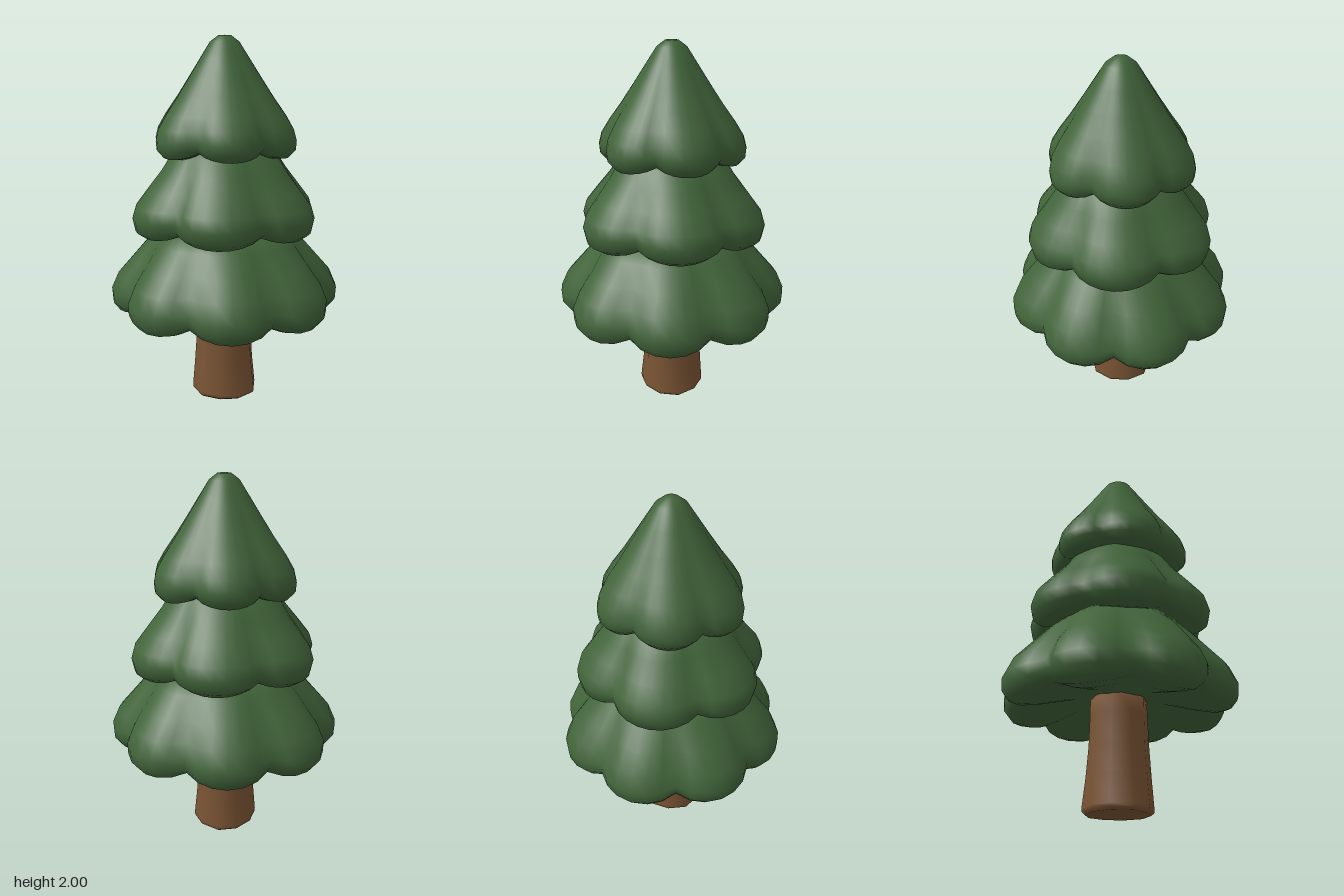
import * as THREE from 'three';
import { mergeVertices } from 'three/addons/utils/BufferGeometryUtils.js';

const SEGMENTS = 48;

// Revolves a profile, then moves each vertex by rule(point, angle), smooth and without a seam
function revolve(profile, segments, rule) {
  let geo = new THREE.LatheGeometry(profile.map(([r, y]) => new THREE.Vector2(r, y)), segments);
  const pos = geo.attributes.position;
  const rows = profile.length;
  for (let i = 0; i < pos.count; i++) {
    const angle = (Math.floor(i / rows) % segments) / segments * Math.PI * 2; // 0 = +z, towards +x
    const [r, y] = rule(profile[i % rows], angle);
    pos.setXYZ(i, r * Math.sin(angle), y, r * Math.cos(angle));
  }
  geo.deleteAttribute('normal');
  geo.deleteAttribute('uv');
  geo = mergeVertices(geo, 1e-5);
  geo.computeVertexNormals();
  return geo;
}

// Tier of foliage with a scalloped skirt; profile rows are [radius, y, lobe bulge, lobe drop]
function foliageTier(name, profile, lobes, turn, material) {
  const geo = revolve(profile, SEGMENTS, ([r, y, bulge, drop], a) => {
    const lobe = Math.pow(Math.abs(Math.sin(a * lobes / 2)), 0.8); // 0 in the notch, 1 mid-lobe
    return [r + bulge * lobe, y - drop * lobe];
  });
  const mesh = new THREE.Mesh(geo, material);
  mesh.name = name;
  mesh.rotation.y = turn;
  return mesh;
}

export function createModel() {
  const leafGreen = new THREE.MeshStandardMaterial({ color: 0x41643a });
  leafGreen.name = 'leafGreen';
  const barkBrown = new THREE.MeshStandardMaterial({ color: 0x7a5434 });
  barkBrown.name = 'barkBrown';

  const tree = new THREE.Group();
  tree.name = 'pineTree';

  // Trunk: slightly uneven, flared at the foot, with a softened base edge
  const trunkProfile = [
    [0, 0], [0.165, 0.0], [0.18, 0.012], [0.182, 0.03], [0.168, 0.18],
    [0.157, 0.34], [0.152, 0.5], [0.15, 0.62], [0, 0.62],
  ];
  const trunk = new THREE.Mesh(revolve(trunkProfile, 10, ([r, y], a) =>
    [r * (1 + 0.035 * Math.sin(3 * a + y * 4)), y]), barkBrown);
  trunk.name = 'trunk';
  tree.add(trunk);

  // Bottom tier: eight lobes
  tree.add(foliageTier('bottomFoliage', [
    [0, 0.6, 0, 0], [0.22, 0.585, 0.01, 0.01], [0.4, 0.56, 0.02, 0.04], [0.49, 0.55, 0.04, 0.048],
    [0.535, 0.562, 0.06, 0.045], [0.56, 0.595, 0.07, 0.035], [0.56, 0.645, 0.075, 0.015],
    [0.525, 0.72, 0.07, 0], [0.465, 0.81, 0.05, 0], [0.395, 0.92, 0.022, 0],
    [0.33, 1.0, 0, 0], [0, 1.05, 0, 0],
  ], 8, 0, leafGreen));

  // Middle tier: six lobes
  tree.add(foliageTier('middleFoliage', [
    [0, 1.03, 0, 0], [0.24, 1.02, 0.01, 0.02], [0.36, 1.0, 0.03, 0.045], [0.41, 1.0, 0.05, 0.045],
    [0.44, 1.02, 0.065, 0.035], [0.45, 1.07, 0.07, 0.015], [0.435, 1.12, 0.065, 0],
    [0.385, 1.2, 0.05, 0], [0.325, 1.3, 0.025, 0], [0.275, 1.39, 0.012, 0],
    [0.22, 1.43, 0, 0], [0, 1.47, 0, 0],
  ], 6, 0, leafGreen));

  // Top tier: six lobes below a blunt tip
  tree.add(foliageTier('topFoliage', [
    [0, 1.44, 0, 0], [0.16, 1.43, 0.01, 0.01], [0.27, 1.415, 0.03, 0.045], [0.315, 1.415, 0.045, 0.04],
    [0.338, 1.435, 0.055, 0.025], [0.342, 1.47, 0.055, 0.01], [0.335, 1.52, 0.045, 0],
    [0.305, 1.59, 0.03, 0], [0.25, 1.68, 0.018, 0], [0.19, 1.78, 0.01, 0],
    [0.13, 1.88, 0.004, 0], [0.078, 1.965, 0, 0], [0.035, 1.997, 0, 0], [0, 2, 0, 0],
  ], 6, 0.17, leafGreen));

  return tree;
}
